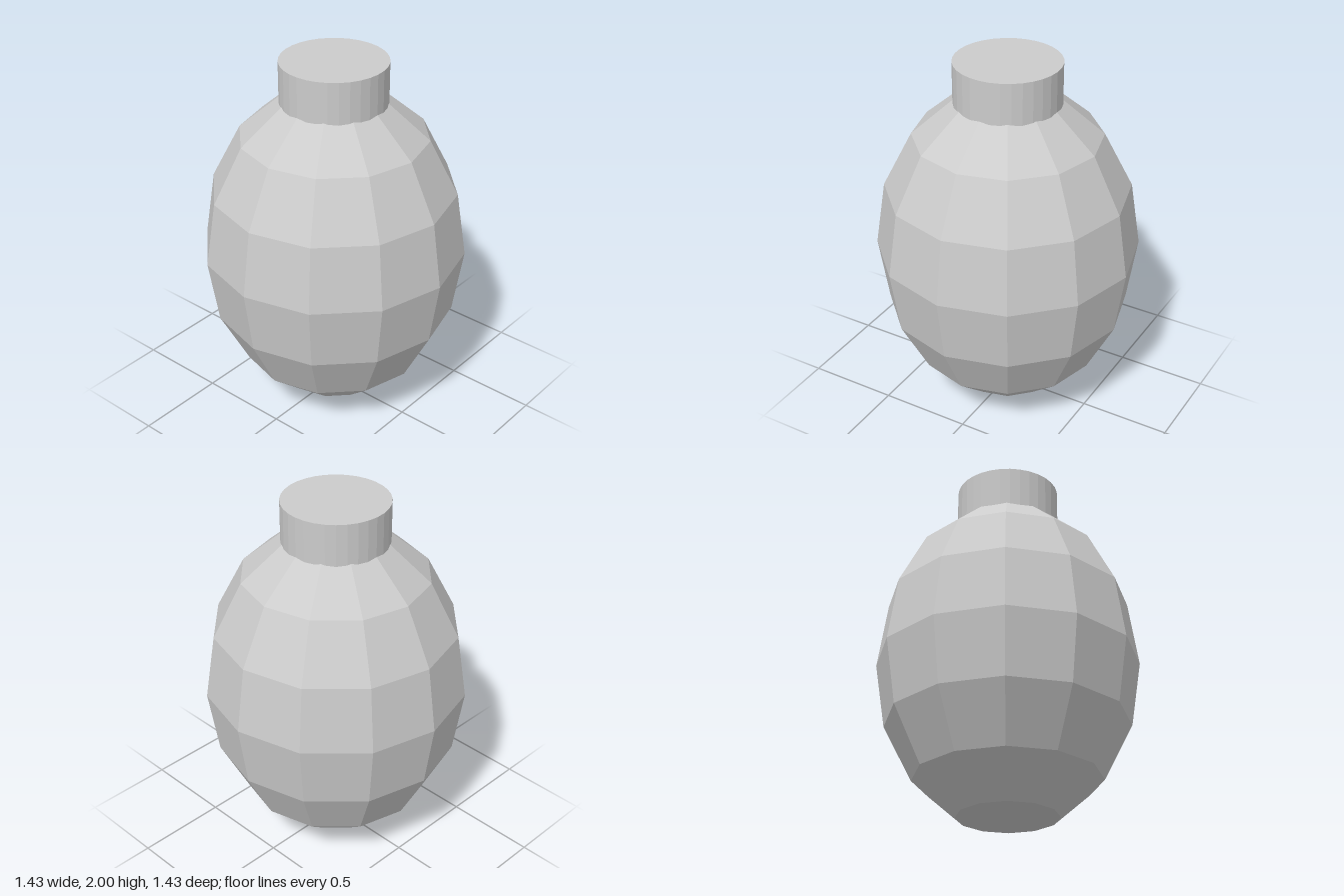
import * as THREE from 'three';

export function createModel() {
  const group = new THREE.Group();
  const material = new THREE.MeshStandardMaterial({ color: 0xcccccc, flatShading: true });

  const add = (name, geometry, y) => {
    const mesh = new THREE.Mesh(geometry, material);
    mesh.name = name;
    mesh.position.y = y;
    group.add(mesh);
  };

  // Faceted egg-shaped body: a coarse sphere stretched upwards
  const radius = 0.713, halfHeight = 0.93;
  const body = new THREE.SphereGeometry(radius, 12, 8);
  body.scale(1, halfHeight / radius, 1);
  add('body', body, halfHeight);

  // Capped neck, sunk into the top of the body
  const neckTop = 2, neckBottom = 1.7;
  const neck = new THREE.CylinderGeometry(0.284, 0.284, neckTop - neckBottom, 32);
  add('neck', neck, (neckTop + neckBottom) / 2);

  return group;
}
